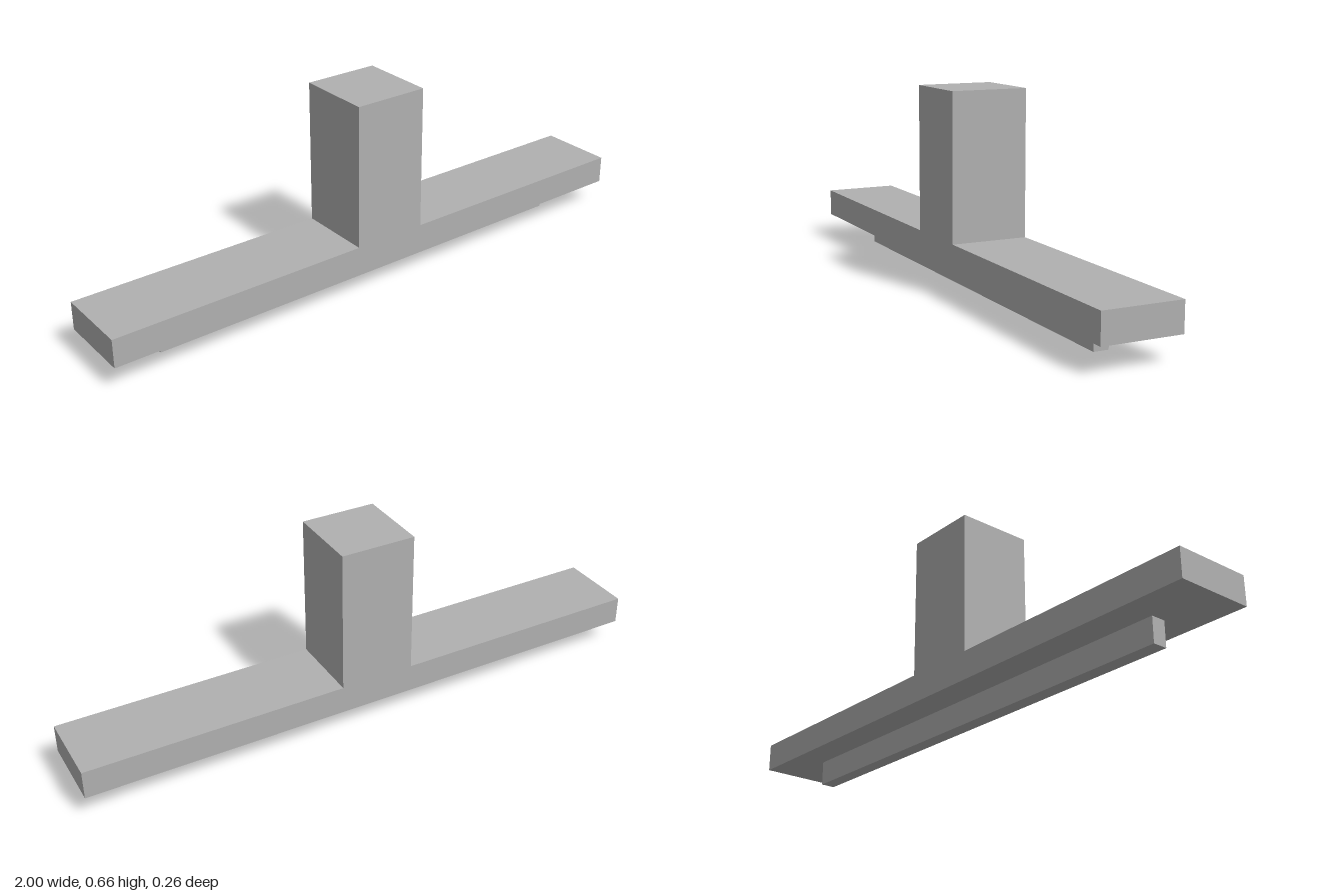
import * as THREE from 'three';

export function createModel() {
  const group = new THREE.Group();
  const grey = new THREE.MeshStandardMaterial({ color: 0xb0b0b0 });
  grey.name = 'grey';

  const depth = 0.259, post = 0.127, bottom = 0.083, shoulder = 0.178, top = 0.662;

  // Crossbar and upright handle, one continuous inverted T
  const outline = new THREE.Shape([
    [-1, bottom], [1, bottom], [1, shoulder], [post, shoulder],
    [post, top], [-post, top], [-post, shoulder], [-1, shoulder],
  ].map(([x, y]) => new THREE.Vector2(x, y)));
  const bodyGeometry = new THREE.ExtrudeGeometry(outline, { depth, bevelEnabled: false });
  bodyGeometry.translate(0, 0, -depth / 2);
  const body = new THREE.Mesh(bodyGeometry, grey);
  body.name = 'crossbarAndHandle';
  group.add(body);

  // Thin blade under the crossbar
  const blade = new THREE.Mesh(new THREE.BoxGeometry(1.6, bottom, 0.049), grey);
  blade.name = 'blade';
  blade.position.y = bottom / 2;
  group.add(blade);

  return group;
}
